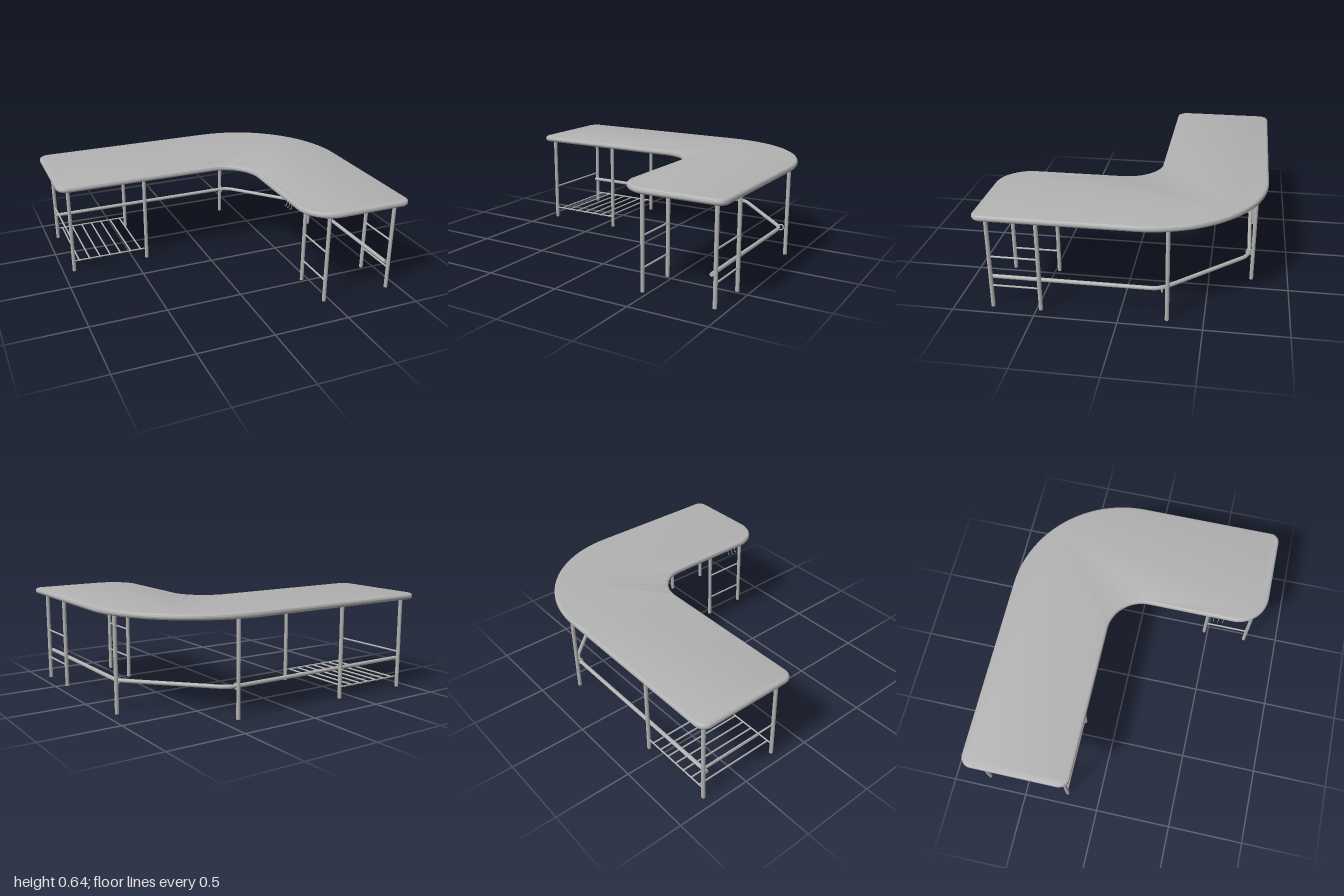
import * as THREE from 'three';
import { toCreasedNormals } from 'three/addons/utils/BufferGeometryUtils.js';

const V = (x, y, z) => new THREE.Vector3(x, y, z);

export function createModel() {
  const model = new THREE.Group();
  model.name = 'cornerDesk';
  const grey = new THREE.MeshStandardMaterial({ color: 0xb2b2b2 });
  grey.name = 'grey';

  const add = (name, geometry) => {
    const mesh = new THREE.Mesh(geometry, grey);
    mesh.name = name;
    model.add(mesh);
    return mesh;
  };

  // Round bar between two points
  const bar = (name, a, b, radius) => {
    const dir = b.clone().sub(a);
    const mesh = add(name, new THREE.CylinderGeometry(radius, radius, dir.length(), 16));
    mesh.position.copy(a).add(b).multiplyScalar(0.5);
    mesh.quaternion.setFromUnitVectors(V(0, 1, 0), dir.normalize());
    return mesh;
  };

  // L-shaped top: corners as [x, z, rounding]
  const corners = [
    [-1, -0.84, 0.07], [-1, -0.155, 0.07], [0.305, -0.155, 0.23], [0.305, 0.84, 0.21],
    [1, 0.84, 0.06], [1, -0.84, 0.74],
  ].map(([x, z, r]) => ({ p: new THREE.Vector2(x, -z), r }));
  const shape = new THREE.Shape();
  corners.forEach(({ p, r }, i) => {
    const before = corners[(i + corners.length - 1) % corners.length].p;
    const after = corners[(i + 1) % corners.length].p;
    const toward = (q, d) => p.clone().add(q.clone().sub(p).setLength(d));
    const start = toward(before, r), end = toward(after, r);
    const c1 = toward(before, r * 0.448), c2 = toward(after, r * 0.448);
    if (i === 0) shape.moveTo(start.x, start.y);
    else shape.lineTo(start.x, start.y);
    shape.bezierCurveTo(c1.x, c1.y, c2.x, c2.y, end.x, end.y);
  });
  shape.closePath();
  const edge = 0.017;
  const top = new THREE.ExtrudeGeometry(shape, {
    depth: 0.003, bevelEnabled: true, bevelThickness: edge, bevelSize: edge,
    bevelOffset: -edge, bevelSegments: 6, curveSegments: 24,
  });
  top.rotateX(-Math.PI / 2);
  top.translate(0, 0.6 + edge, 0);
  add('tableTop', toCreasedNormals(top, 0.6));

  // Legs
  const legs = [
    [-0.925, -0.77], [-0.925, -0.22], [-0.405, -0.77], [-0.405, -0.22],
    [0.385, -0.77], [0.925, -0.285],
    [0.46, 0.475], [0.46, 0.77], [0.925, 0.475], [0.925, 0.77],
  ];
  for (const [x, z] of legs) bar('leg', V(x, 0, z), V(x, 0.605, z), 0.0125);

  // Rungs between the leg pairs of the front wing
  for (const x of [0.46, 0.925])
    for (const y of [0.145, 0.34]) bar('rung', V(x, y, 0.475), V(x, y, 0.77), 0.006);

  // Rungs on the side wing
  bar('sideRung', V(-0.925, 0.24, -0.77), V(-0.925, 0.24, -0.22), 0.006);

  // Low rack: two bearers and seven rods
  for (const z of [-0.77, -0.22])
    bar('rackBearer', V(-0.925, 0.073, z), V(-0.405, 0.073, z), 0.005);
  for (let i = 0; i < 7; i++) {
    const x = -0.885 + i * 0.073;
    bar('rackRod', V(x, 0.069, -0.77), V(x, 0.069, -0.22), 0.0055);
  }

  // Bent rail running along the inside of the outer legs
  const y = 0.193;
  const railStart = V(-0.925, y, -0.745), railEnd = V(0.9, y, 0.77);
  const bendA = [V(0.37, y, -0.745), V(0.43, y, -0.745), V(0.471, y, -0.701)];
  const bendB = [V(0.859, y, -0.284), V(0.9, y, -0.24), V(0.9, y, -0.18)];
  const path = new THREE.CurvePath();
  path.add(new THREE.LineCurve3(railStart, bendA[0]));
  path.add(new THREE.QuadraticBezierCurve3(...bendA));
  path.add(new THREE.LineCurve3(bendA[2], bendB[0]));
  path.add(new THREE.QuadraticBezierCurve3(...bendB));
  path.add(new THREE.LineCurve3(bendB[2], railEnd));
  add('rail', new THREE.TubeGeometry(path, 160, 0.0125, 14, false));
  bar('railCap', railStart.clone().add(V(-0.002, 0, 0)), railStart, 0.0125);
  bar('railCap', railEnd, railEnd.clone().add(V(0, 0, 0.002)), 0.0125);

  // Clamps holding the rail at the two corner legs
  for (const [x, z, turn] of [[0.385, -0.745, Math.PI / 2], [0.9, -0.25, 0.2]]) {
    const clamp = add('railClamp', new THREE.TorusGeometry(0.018, 0.005, 8, 24));
    clamp.position.set(x, y, z);
    clamp.rotation.y = turn;
  }

  // Three small hooks under the inner edge
  for (const z of [0.51, 0.54, 0.572]) {
    const curve = new THREE.CatmullRomCurve3([
      V(0.306, 0.63, z), V(0.304, 0.605, z), V(0.3, 0.588, z), V(0.291, 0.584, z), V(0.286, 0.594, z),
    ]);
    add('hook', new THREE.TubeGeometry(curve, 14, 0.002, 6, false));
  }

  return model;
}
